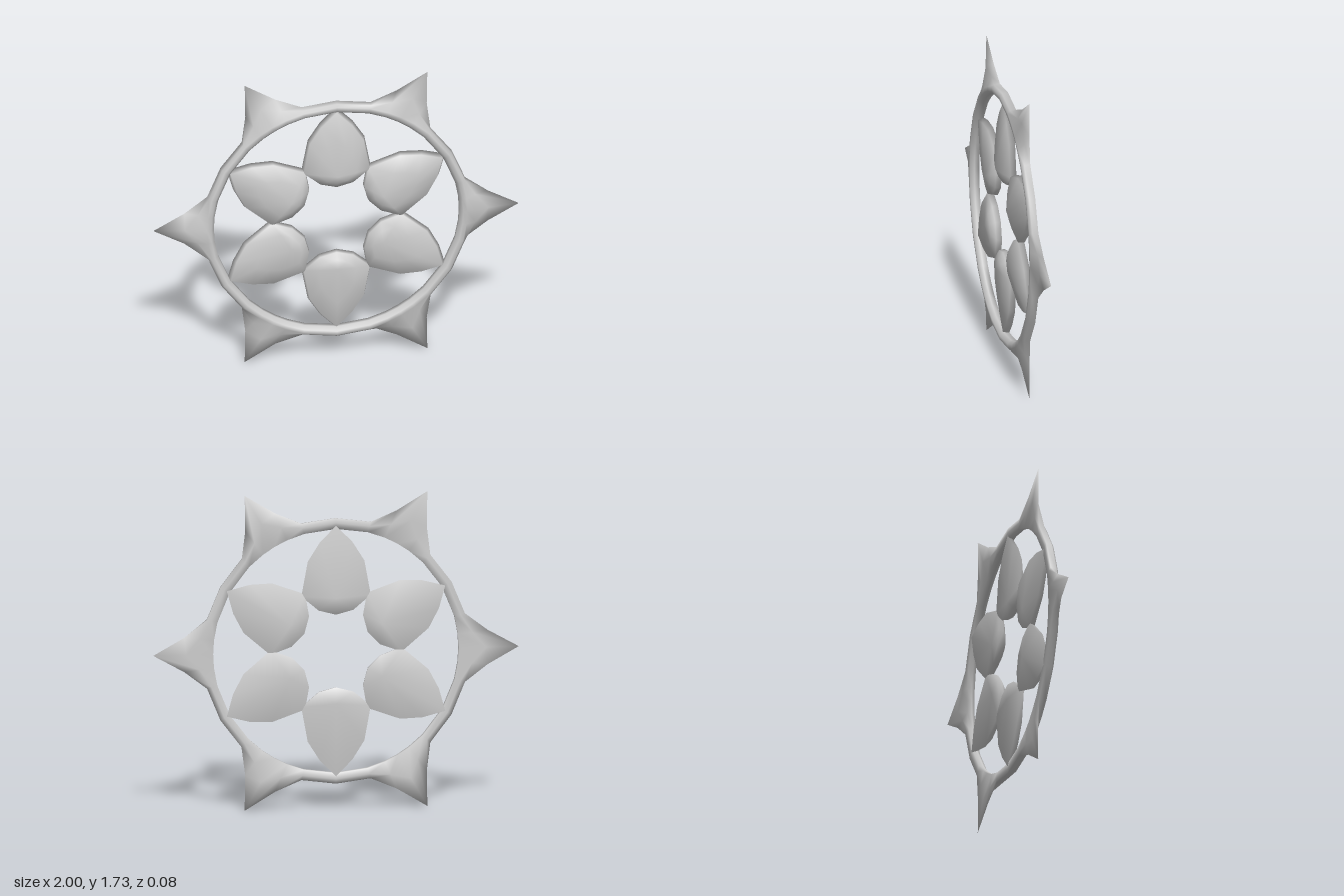
import * as THREE from 'three';

const CENTRE_Y = 0.866;
const BACK = -0.035;
const material = new THREE.MeshStandardMaterial({ color: 0xcccccc });

function smoothGeometry(points, index) {
  const g = new THREE.BufferGeometry();
  g.setAttribute('position', new THREE.Float32BufferAttribute(points.flat(), 3));
  g.setIndex(index);
  g.computeVertexNormals();
  return g;
}

// Ring with six spikes: closed [radius, z] sections swept round the centre
function ringGeometry() {
  const section = (shoulder, mid, outer) => [
    [0.672, BACK], [0.672, -0.008], [0.69, 0.014], [0.712, 0.014],
    [mid[0], mid[1]], [outer, BACK + 0.002], [shoulder, BACK],
  ];
  const plain = section(0.705, [0.726, 0], 0.73);
  const flare = section(0.75, [0.765, -0.015], 0.835);
  const spike = section(0.82, [0.83, -0.009], 1.0);
  const period = [[0, spike], [6.5, flare], [15, plain], [30, plain], [45, plain], [53.5, flare]];

  const points = [], index = [];
  const n = plain.length, columns = period.length * 6;
  for (let k = 0; k < 6; k++) {
    for (const [deg, loop] of period) {
      const a = THREE.MathUtils.degToRad(deg + 60 * k);
      for (const [r, z] of loop) points.push([r * Math.cos(a), r * Math.sin(a), z]);
    }
  }
  for (let i = 0; i < columns; i++) {
    for (let j = 0; j < n; j++) {
      const a = i * n + j, b = i * n + (j + 1) % n;
      const c = ((i + 1) % columns) * n + j, d = ((i + 1) % columns) * n + (j + 1) % n;
      index.push(a, b, c, b, d, c);
    }
  }
  return smoothGeometry(points, index);
}

// Domed petal pointing up: shrinking outlines that rise to an apex
function petalGeometry() {
  const half = [[0.09, 0.598], [0.155, 0.495], [0.19, 0.305], [0.095, 0.225]];
  // counter-clockwise from the tip
  const outline = [
    [0, 0.69], ...half.map(([x, y]) => [-x, y]),
    [0, 0.2], ...half.slice().reverse(),
  ];
  const apexY = 0.29;
  const layers = [[1, BACK], [0.95, -0.004], [0.55, 0.02]];
  const n = outline.length, points = [], index = [];
  for (const [s, z] of layers) {
    for (const [x, y] of outline) points.push([x * s, apexY + (y - apexY) * s, z]);
  }
  const front = points.push([0, apexY, 0.038]) - 1;
  const back = points.push([0, apexY, -0.04]) - 1;
  for (let j = 0; j < n; j++) {
    const k = (j + 1) % n;
    for (let l = 0; l < layers.length - 1; l++) {
      const a = l * n + j, b = l * n + k;
      index.push(a, b, a + n, b, b + n, a + n);
    }
    const top = (layers.length - 1) * n;
    index.push(top + j, top + k, front, k, j, back);
  }
  return smoothGeometry(points, index);
}

export function createModel() {
  const model = new THREE.Group();
  model.name = 'flowerRosette';

  const ring = new THREE.Mesh(ringGeometry(), material);
  ring.name = 'spikedRing';
  ring.position.y = CENTRE_Y;
  model.add(ring);

  // Six petals, each between two spikes
  const petals = new THREE.Group();
  petals.name = 'petals';
  petals.position.y = CENTRE_Y;
  const geometry = petalGeometry();
  for (let i = 0; i < 6; i++) {
    const petal = new THREE.Mesh(geometry, material);
    petal.name = `petal${i + 1}`;
    petal.rotation.z = (i * Math.PI) / 3;
    petals.add(petal);
  }
  model.add(petals);
  return model;
}
